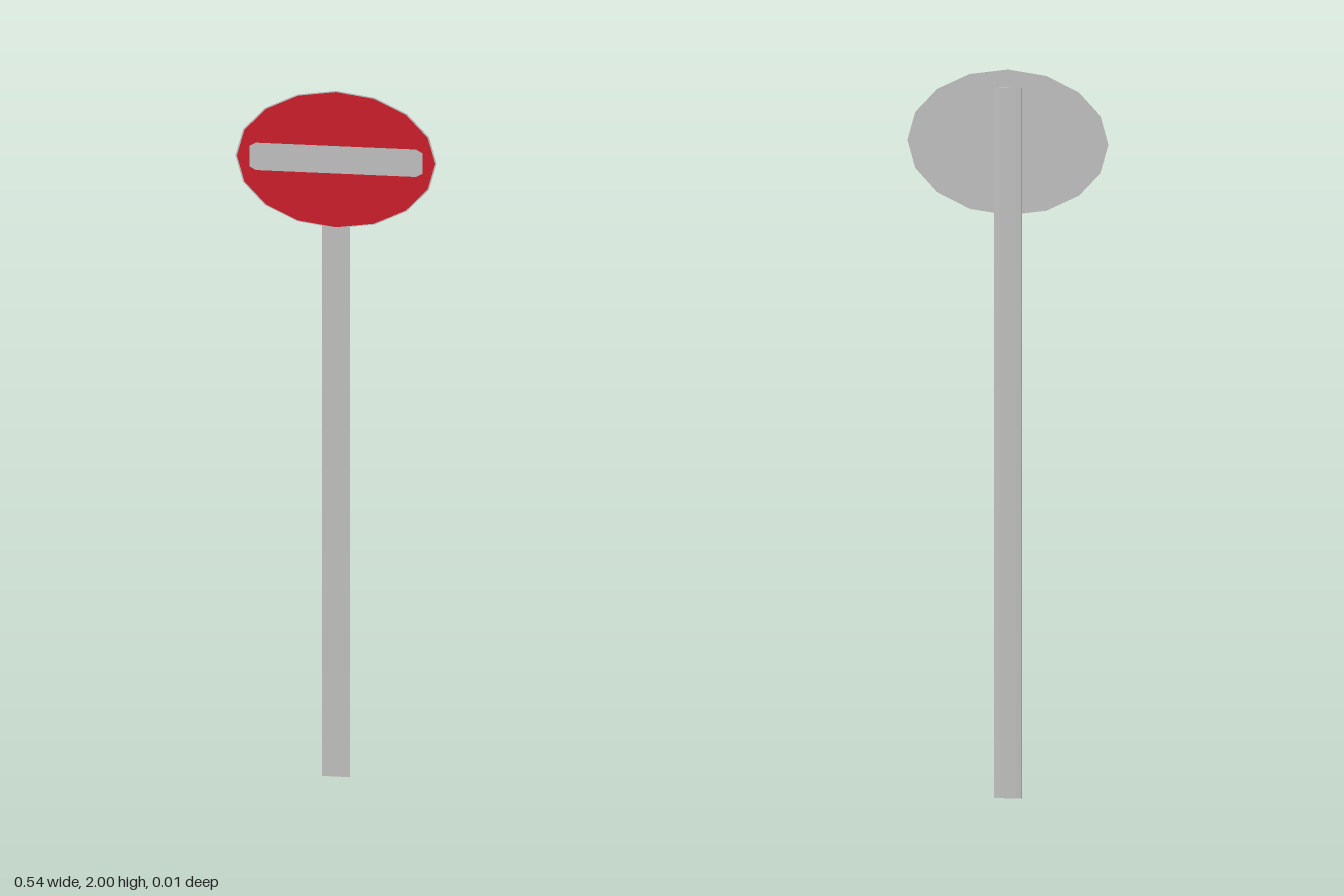
import * as THREE from 'three';

const CENTRE_Y = 1.8;

export function createModel() {
  const red = new THREE.MeshStandardMaterial({ name: 'signRed', color: 0xcc1f2b });
  const grey = new THREE.MeshStandardMaterial({ name: 'metalGrey', color: 0xc1c1c1 });
  const group = new THREE.Group();
  group.name = 'roadSign';

  const add = (name, geometry, material, y, z) => {
    const mesh = new THREE.Mesh(geometry, material);
    mesh.name = name;
    mesh.position.set(0, y, z);
    group.add(mesh);
  };

  // 16-sided oval with a corner at the top
  const oval = (rx, ry) => new THREE.Shape(Array.from({ length: 16 }, (_, i) => {
    const a = (i / 16) * Math.PI * 2;
    return new THREE.Vector2(Math.cos(a) * rx, Math.sin(a) * ry);
  }));
  const polygon = (points) => new THREE.Shape(points.map(([x, y]) => new THREE.Vector2(x, y)));
  const extrude = (shape, depth) => new THREE.ExtrudeGeometry(shape, { depth, bevelEnabled: false });

  // Thin metal plate with the red face on its front
  add('signPlate', extrude(oval(0.27, 0.2), 0.001), grey, CENTRE_Y, -0.001);
  add('redFace', new THREE.ShapeGeometry(oval(0.266, 0.197)), red, CENTRE_Y, 0.0006);

  // Horizontal bar with clipped corners
  const bar = polygon([
    [-0.232, -0.03], [-0.215, -0.04], [0.215, -0.04], [0.232, -0.03],
    [0.232, 0.03], [0.215, 0.04], [-0.215, 0.04], [-0.232, 0.03],
  ]);
  add('whiteBar', new THREE.ShapeGeometry(bar), grey, CENTRE_Y, 0.0014);

  // Flat post with chamfered back edges, reaching up behind the plate
  const post = extrude(polygon([
    [-0.037, 0.001], [0.037, 0.001], [0.037, 0.002], [0.022, 0.004], [-0.022, 0.004], [-0.037, 0.002],
  ]), 1.95);
  post.rotateX(-Math.PI / 2);
  add('post', post, grey, 0, 0);

  return group;
}
